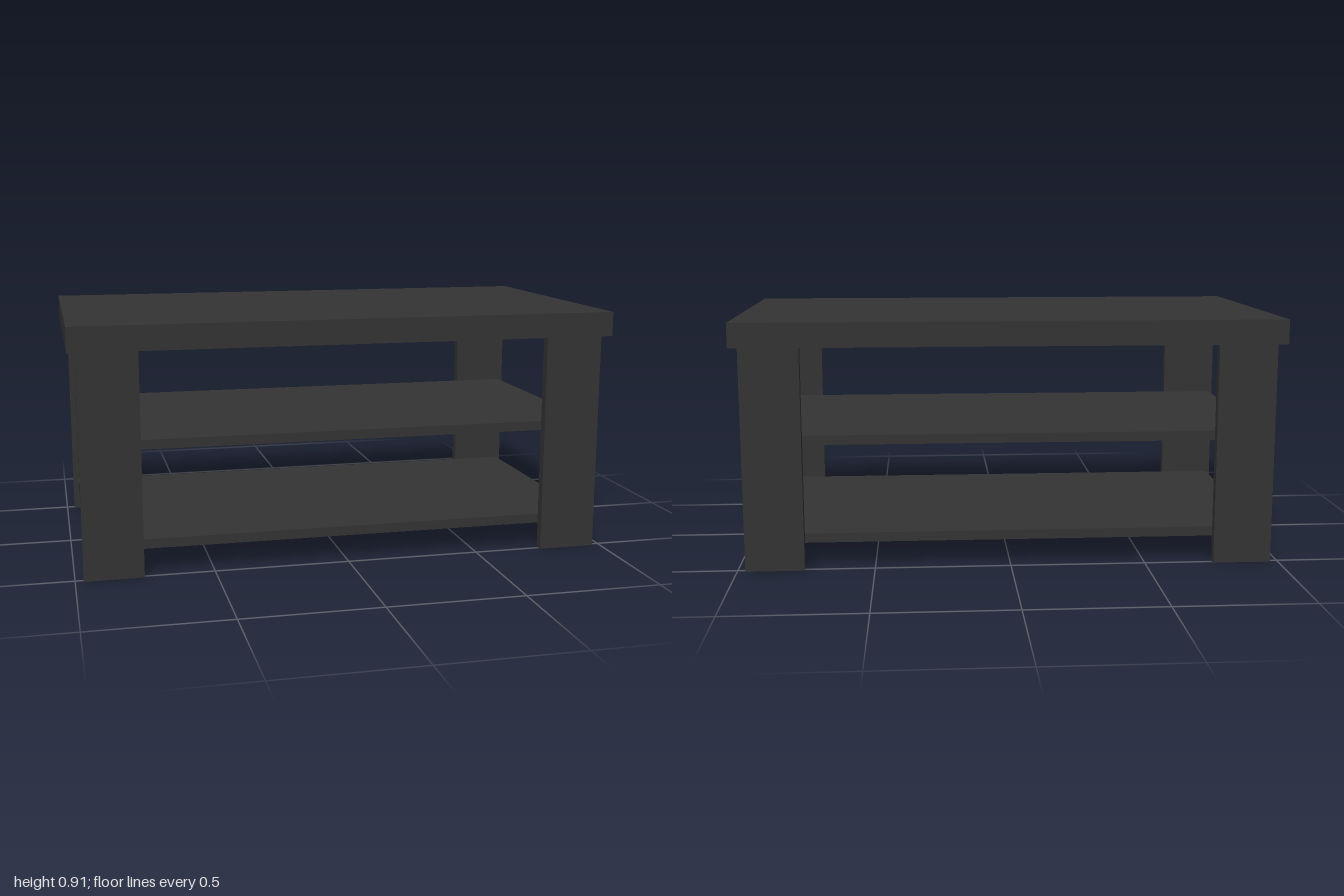
import * as THREE from 'three';

export function createModel() {
  const group = new THREE.Group();
  const charcoal = new THREE.MeshStandardMaterial({ color: 0x333333 });
  charcoal.name = 'charcoal';

  // Board given by its size, the height of its underside and its centre in plan
  const board = (name, w, h, d, bottom, x = 0, z = 0) => {
    const mesh = new THREE.Mesh(new THREE.BoxGeometry(w, h, d), charcoal);
    mesh.name = name;
    mesh.position.set(x, bottom + h / 2, z);
    group.add(mesh);
  };

  // Thick table top
  board('tableTop', 2, 0.09, 1.09, 0.82);

  // Two thin shelves, just clear of the legs
  board('upperShelf', 1.9, 0.035, 0.945, 0.458);
  board('lowerShelf', 1.9, 0.035, 0.945, 0.093);

  // Four flat plank legs, mirrored to each corner
  for (const [side, sx] of [['Left', 1], ['Right', -1]]) {
    for (const [end, sz] of [['front', 1], ['back', -1]]) {
      board(`${end}${side}Leg`, 0.215, 0.82, 0.035, 0, sx * 0.863, sz * 0.498);
    }
  }
  return group;
}
